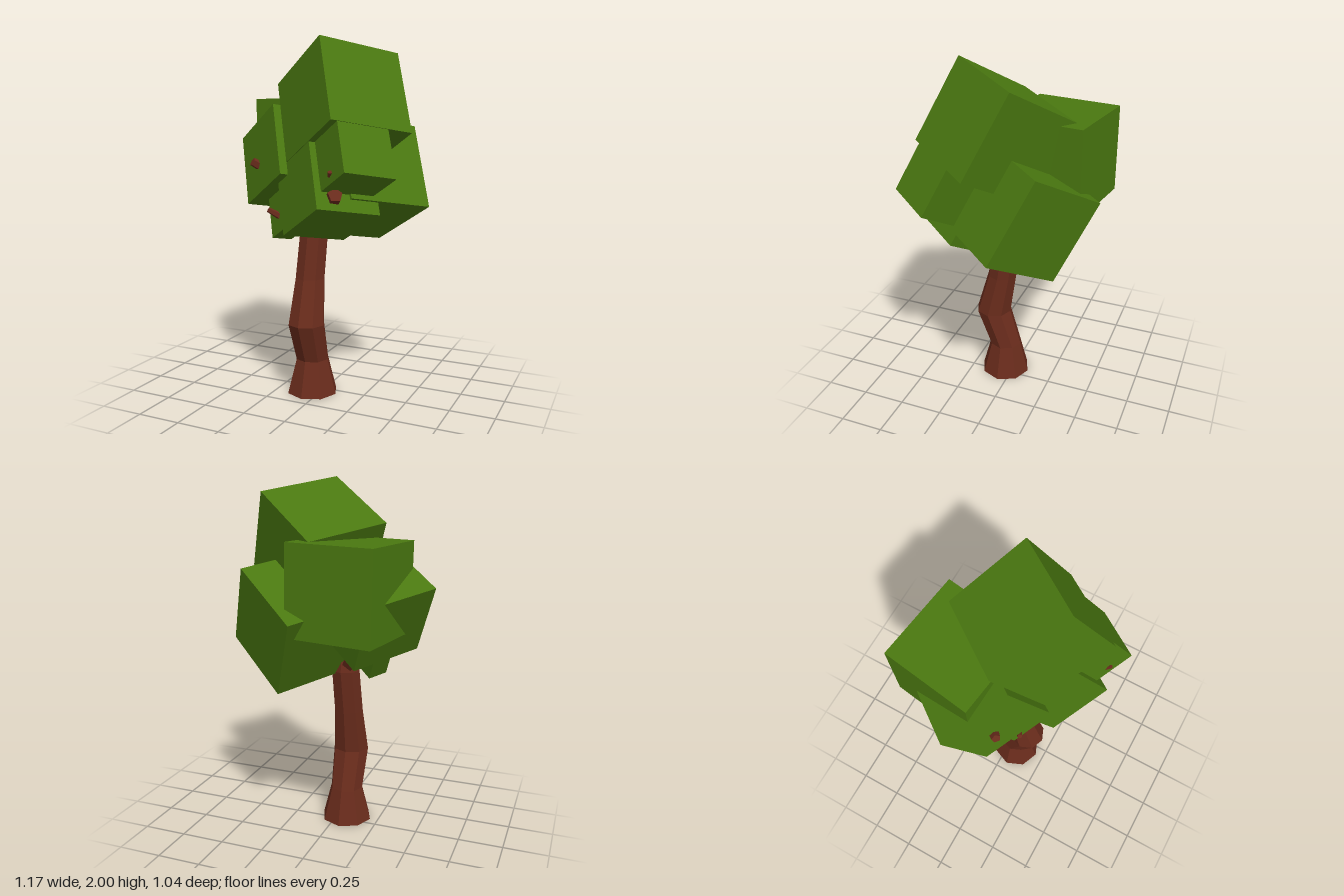
import * as THREE from 'three';

const bark = new THREE.MeshStandardMaterial({ color: 0x6a2c1c, flatShading: true });
const leaf = new THREE.MeshStandardMaterial({ color: 0x4a7810, flatShading: true });

// Shared tilt of the leaf blocks: three edge directions leaving the top front corner
const back = new THREE.Vector3(0.288, -0.074, -0.39).normalize();
const side = new THREE.Vector3(-0.362, -0.233, -0.228).normalize();
const down = new THREE.Vector3().crossVectors(side, back).normalize();
side.crossVectors(back, down).normalize();

// Leaf block placed by its top front corner
function leafBlock(name, corner, size, depth = size) {
  const mesh = new THREE.Mesh(new THREE.BoxGeometry(size, depth, size), leaf);
  mesh.name = name;
  mesh.quaternion.setFromRotationMatrix(new THREE.Matrix4().makeBasis(side, back, down));
  mesh.position.set(...corner)
    .addScaledVector(side, size / 2)
    .addScaledVector(back, depth / 2)
    .addScaledVector(down, size / 2);
  return mesh;
}

// Faceted limb lofted through rings of [x, y, z, radius], listed from bottom to top
function limb(name, rings, sides) {
  const n = rings.length - 1;
  const geo = new THREE.CylinderGeometry(1, 1, 1, sides, n);
  const pos = geo.attributes.position;
  for (let i = 0; i < pos.count; i++) {
    const [x, y, z, r] = rings[Math.round((pos.getY(i) + 0.5) * n)];
    pos.setXYZ(i, x + pos.getX(i) * r, y, z + pos.getZ(i) * r);
  }
  geo.computeVertexNormals();
  const mesh = new THREE.Mesh(geo, bark);
  mesh.name = name;
  return mesh;
}

// Straight tapered branch between two points
function branch(name, from, to, r0, r1) {
  const a = new THREE.Vector3(...from), b = new THREE.Vector3(...to);
  const dir = b.clone().sub(a);
  const mesh = new THREE.Mesh(new THREE.CylinderGeometry(r1, r0, dir.length(), 5), bark);
  mesh.name = name;
  mesh.position.copy(a).add(b).multiplyScalar(0.5);
  mesh.quaternion.setFromUnitVectors(new THREE.Vector3(0, 1, 0), dir.normalize());
  return mesh;
}

export function createModel() {
  const tree = new THREE.Group();
  tree.name = 'tree';

  // Crooked trunk with a flared foot
  tree.add(limb('trunk', [
    [-0.055, 0, 0.052, 0.148],
    [-0.055, 0.2, 0.05, 0.096],
    [-0.055, 0.425, 0.127, 0.106],
    [-0.057, 0.68, 0.072, 0.087],
    [-0.05, 0.93, 0.035, 0.084],
    [-0.05, 1.06, 0.03, 0.06],
  ], 8));

  // Branches, some poking out through the leaves
  const fork = [-0.05, 0.92, 0.035];
  [
    ['leftFrontBranch', [0.24, 1.2, 0.39], 0.05, 0.04],
    ['rightFrontBranch', [-0.265, 1.07, 0.18], 0.04, 0.015],
    ['leftBackBranch', [0.13, 1.08, -0.08], 0.05, 0.045],
    ['backBranch', [-0.22, 1.22, -0.15], 0.05, 0.032],
  ].forEach(([name, tip, r0, r1]) => tree.add(branch(name, fork, tip, r0, r1)));
  tree.add(branch('rightTwig', [-0.25, 1.2, -0.05], [-0.4, 1.33, 0.115], 0.045, 0.025));
  tree.add(branch('frontTwig', [0.2, 1.2, 0.33], [0.238, 1.32, 0.45], 0.03, 0.012));

  // Leaf blocks in the shared tilt
  [
    ['topLeaves', [0.085, 2.0, 0.247], 0.49],
    ['leftBackLeaves', [0.135, 1.605, 0.1], 0.497],
    ['rightLeaves', [-0.266, 1.655, 0.11], 0.428],
    ['frontLeaves', [0.064, 1.462, 0.332], 0.377],
    ['leftFrontLeaves', [0.249, 1.59, 0.398], 0.305],
    ['lowerLeaves', [-0.15, 1.24, 0.16], 0.25, 0.12],
  ].forEach((args) => tree.add(leafBlock(...args)));

  // Nearly upright block at the back
  const backLeaves = new THREE.Mesh(new THREE.BoxGeometry(0.49, 0.49, 0.49), leaf);
  backLeaves.name = 'backLeaves';
  backLeaves.position.set(-0.163, 1.445, -0.222);
  backLeaves.rotation.set(0.01, -0.142, 0.015);
  tree.add(backLeaves);

  return tree;
}
